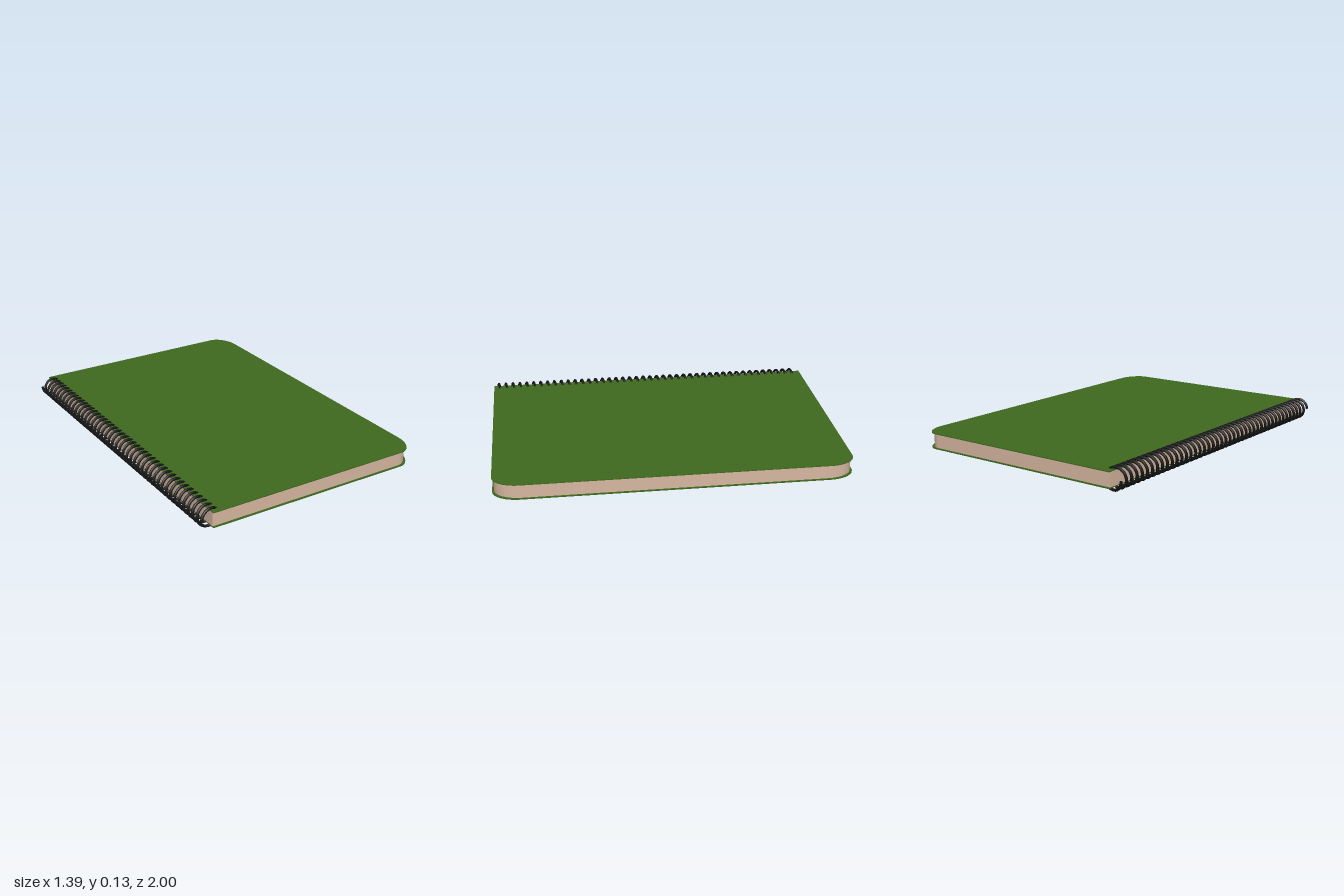
import * as THREE from 'three';
import { toCreasedNormals } from 'three/addons/utils/BufferGeometryUtils.js';

const SPINE_X = -0.635;

// Flat slab: square corners at the spine, elliptical corners at the open edge
function slab(name, right, halfZ, y0, y1, color) {
  const rx = 0.105, rz = 0.15;
  const s = new THREE.Shape();
  s.moveTo(SPINE_X, -halfZ);
  s.lineTo(right - rx, -halfZ);
  s.absellipse(right - rx, -halfZ + rz, rx, rz, -Math.PI / 2, 0, false);
  s.lineTo(right, halfZ - rz);
  s.absellipse(right - rx, halfZ - rz, rx, rz, 0, Math.PI / 2, false);
  s.lineTo(SPINE_X, halfZ);
  s.closePath();
  let geo = new THREE.ExtrudeGeometry(s, { depth: y1 - y0, bevelEnabled: false, curveSegments: 16 });
  geo.rotateX(-Math.PI / 2);
  geo.translate(0, y0, 0);
  geo = toCreasedNormals(geo, 0.6);
  const mesh = new THREE.Mesh(geo, new THREE.MeshStandardMaterial({ color }));
  mesh.name = name;
  return mesh;
}

// Wire helix running along the spine
class Coil extends THREE.Curve {
  constructor(turns, radius, y, zStart, zEnd) {
    super();
    Object.assign(this, { turns, radius, y, zStart, zEnd });
  }
  getPoint(t, target = new THREE.Vector3()) {
    const a = t * this.turns * Math.PI * 2;
    return target.set(
      SPINE_X - this.radius * Math.cos(a),
      this.y + this.radius * Math.sin(a),
      THREE.MathUtils.lerp(this.zStart, this.zEnd, t));
  }
  // Constant speed, so arc length equals the parameter
  getUtoTmapping(u) { return u; }
}

export function createModel() {
  const group = new THREE.Group();
  group.name = 'spiralNotebook';

  group.add(slab('pages', 0.686, 0.99, 0.027, 0.107, 0xd9b8a2));
  group.add(slab('bottomCover', 0.695, 1, 0.021, 0.027, 0x3f6a1f));
  group.add(slab('topCover', 0.695, 1, 0.107, 0.112, 0x3f6a1f));

  // Spiral binding
  const turns = 44, wire = 0.008;
  const coil = new Coil(turns, 0.056, 0.0645, 0.979, -0.977);
  const wireMaterial = new THREE.MeshStandardMaterial({ color: 0x161616 });
  const binding = new THREE.Mesh(new THREE.TubeGeometry(coil, turns * 28, wire, 8), wireMaterial);
  binding.name = 'spiralBinding';
  group.add(binding);

  // Closed wire ends
  for (const t of [0, 1]) {
    const cap = new THREE.Mesh(new THREE.CircleGeometry(wire, 8), wireMaterial);
    cap.name = t ? 'wireEndBack' : 'wireEndFront';
    cap.position.copy(coil.getPoint(t));
    const outward = coil.getTangent(t).multiplyScalar(t ? 1 : -1);
    cap.quaternion.setFromUnitVectors(new THREE.Vector3(0, 0, 1), outward);
    group.add(cap);
  }
  return group;
}
